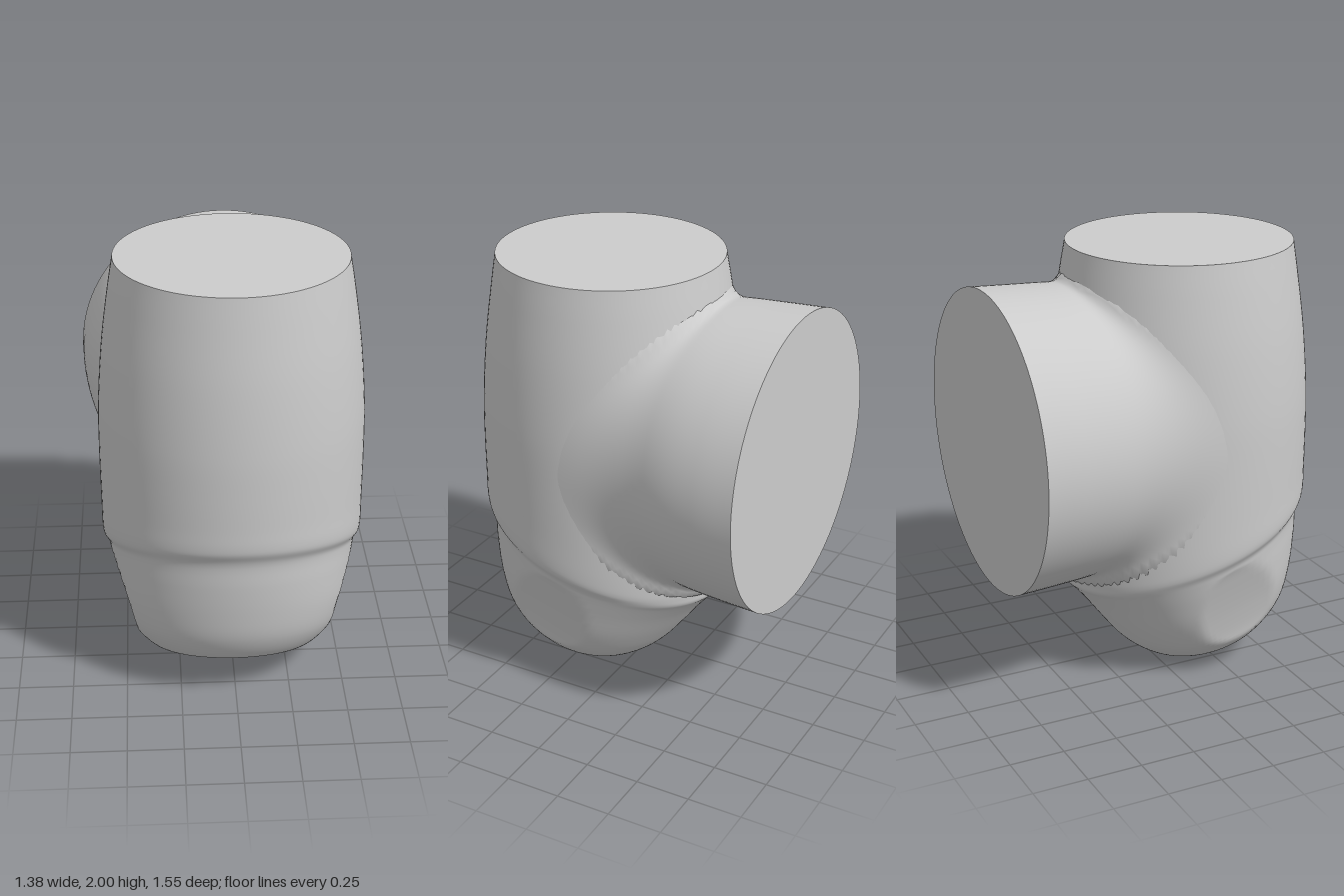
import * as THREE from 'three';

const SEG = 112;

// Skin a list of closed rings (each an array of SEG [x, y, z] points).
function loft(rings) {
  const pos = rings.flat(2), idx = [];
  for (let i = 0; i < rings.length - 1; i++) {
    for (let j = 0; j < SEG; j++) {
      const k = (j + 1) % SEG;
      const a = i * SEG + j, b = i * SEG + k, c = a + SEG, d = b + SEG;
      idx.push(a, c, b, b, c, d);
    }
  }
  const g = new THREE.BufferGeometry();
  g.setAttribute('position', new THREE.Float32BufferAttribute(pos, 3));
  g.setIndex(idx);
  g.computeVertexNormals();
  return g;
}

const ringOf = (fn) => Array.from({ length: SEG }, (_, j) => fn((j / SEG) * Math.PI * 2));
const pointRing = (x, y, z) => ringOf(() => [x, y, z]);

// Upright housing sections: front z, front y, back z, back y, half width, side limit
const SECTIONS = [
  [0.695, 2.0, -0.335, 2.0, 0.515, 1],
  [0.717, 1.85, -0.362, 1.85, 0.54, 1],
  [0.75, 1.6, -0.4, 1.6, 0.574, 1],
  [0.772, 1.3, -0.423, 1.3, 0.597, 1],
  [0.775, 1.1, -0.425, 1.05, 0.6, 1],
  [0.774, 0.95, -0.42, 0.7, 0.598, 1],
  [0.773, 0.87, -0.41, 0.51, 0.596, 0.8],
  [0.768, 0.835, -0.406, 0.46, 0.59, 0.65],
  [0.748, 0.79, -0.4, 0.425, 0.57, 0.58],
  [0.74, 0.755, -0.375, 0.4, 0.564, 0.56],
  [0.735, 0.65, -0.31, 0.325, 0.55, 0.525],
  [0.72, 0.5, -0.215, 0.2, 0.525, 0.48],
  [0.695, 0.36, -0.135, 0.1, 0.48, 0.45],
  [0.65, 0.26, -0.08, 0.05, 0.425, 0.44],
  [0.6, 0.2, -0.02, 0.012, 0.37, 0.44],
  [0.565, 0.185, 0.02, 0.0, 0.33, 0.44],
];

function housingRings() {
  const front = new THREE.CatmullRomCurve3(SECTIONS.map((s) => new THREE.Vector3(s[4], s[1], s[0])));
  const back = new THREE.CatmullRomCurve3(SECTIONS.map((s) => new THREE.Vector3(s[5], s[3], s[2])));
  const rows = (SECTIONS.length - 1) * 5, rings = [];
  for (let i = 0; i <= rows; i++) {
    const f = front.getPoint(i / rows), b = back.getPoint(i / rows);
    rings.push(ringOf((a) => {
      const t = (1 + Math.cos(a)) / 2;
      // the side limit makes the shallow flats on the lower cap
      const x = THREE.MathUtils.clamp(f.x * Math.sin(a), -b.x, b.x);
      return [x, b.y + (f.y - b.y) * t, b.z + (f.z - b.z) * t];
    }));
  }
  return rings;
}

// Rear socket sections: z, half width, half height
const SOCKET = [
  [0.2, 0.4, 0.52], [0, 0.5, 0.6], [-0.2, 0.588, 0.655], [-0.4, 0.652, 0.673],
  [-0.58, 0.68, 0.682], [-0.77, 0.692, 0.692],
];

// Distance to the housing wall, used to fillet the socket into it
function housingDistance(x, y, z) {
  const r = 0.6 - 0.085 * Math.max(0, (y - 1.1) / 0.9) ** 2;
  return Math.hypot(x, z - 0.175) - r + 0.004;
}

function socketRings() {
  const curve = new THREE.CatmullRomCurve3(SOCKET.map(([z, w, h]) => new THREE.Vector3(w, h, z)));
  const rings = [], rows = 64, cy = 1.173;
  for (let i = 0; i <= rows; i++) {
    const s = curve.getPoint(i / rows);
    rings.push(ringOf((a) => {
      const c = Math.cos(a), n = Math.sin(a);
      const R = 1 / Math.hypot(c / s.x, n / s.y);
      const k = 0.04 + 0.17 * c * c; // fillet is wide at the sides, tight above and below
      let lo = 0.2, hi = R + k;
      for (let q = 0; q < 22; q++) {
        const m = (lo + hi) / 2;
        const d1 = m - R, d2 = housingDistance(m * c, cy + m * n, s.z);
        const h = Math.max(0, k - Math.abs(d1 - d2)) / k;
        if (Math.min(d1, d2) - (h * h * k) / 4 < 0) lo = m; else hi = m;
      }
      return [lo * c, cy + lo * n, s.z];
    }));
  }
  return rings;
}

export function createModel() {
  const group = new THREE.Group();
  const material = new THREE.MeshStandardMaterial({ color: 0xcccccc });
  const add = (name, rings) => {
    const mesh = new THREE.Mesh(loft(rings), material);
    mesh.name = name;
    group.add(mesh);
  };

  // Upright housing with its stepped lower cap
  const housing = housingRings();
  const last = housing[housing.length - 1];
  add('housing', housing);
  add('topFace', [pointRing(0, 2, 0.18), housing[0]]);
  add('bottomFace', [last, pointRing(0, 0.0925, 0.2925)]);

  // Round socket blending out of the back
  const socket = socketRings();
  add('rearSocket', socket);
  add('rearFace', [socket[socket.length - 1], pointRing(0, 1.173, -0.77)]);

  return group;
}
